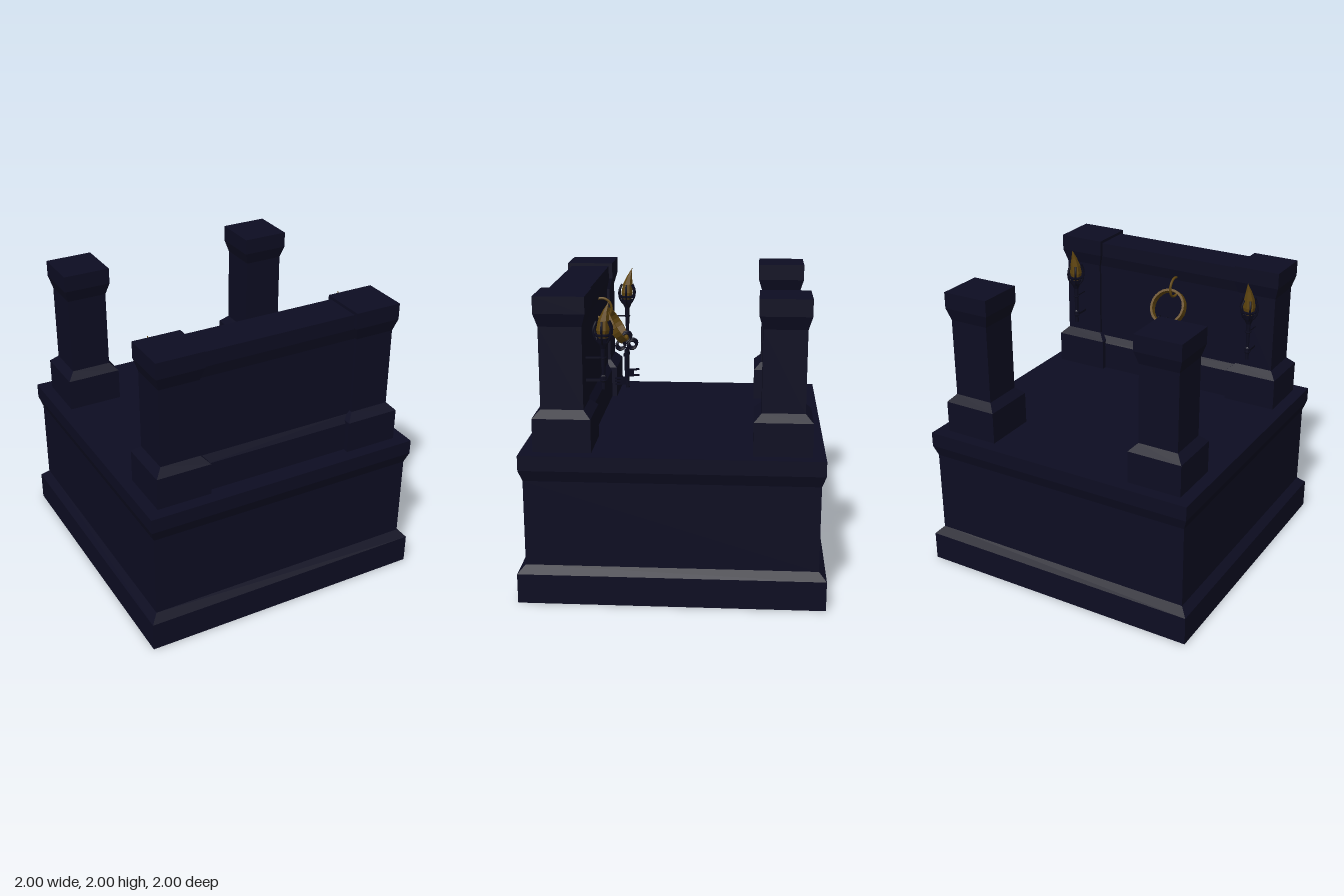
import * as THREE from 'three';

const material = (name, color) => {
  const m = new THREE.MeshStandardMaterial({ color });
  m.name = name;
  return m;
};

// Lathe with hard facets
function facetedLathe(points, segments, phase = 0) {
  const g = new THREE.LatheGeometry(points.map(([r, y]) => new THREE.Vector2(r, y)), segments, phase).toNonIndexed();
  g.computeVertexNormals();
  return g;
}

// Square moulded block from [half width, height] pairs
function squareBlock(profile) {
  const pts = profile.map(([h, y]) => [h * Math.SQRT2, y]);
  return facetedLathe([[0, pts[0][1]], ...pts, [0, pts[pts.length - 1][1]]], 4, Math.PI / 4);
}

export function createModel() {
  const stone = material('dark stone', 0x0d0d22);
  const iron = material('dark iron', 0x0b0b1e);
  const gold = material('aged gold', 0x624710);
  const model = new THREE.Group();
  model.name = 'dungeonBlock';

  function add(parent, name, geometry, mat, x = 0, y = 0, z = 0) {
    const mesh = new THREE.Mesh(geometry, mat);
    mesh.name = name;
    mesh.position.set(x, y, z);
    parent.add(mesh);
    return mesh;
  }
  function group(parent, name, x, y, z) {
    const g = new THREE.Group();
    g.name = name;
    g.position.set(x, y, z);
    parent.add(g);
    return g;
  }

  // Plinth with stepped foot and flared rim
  add(model, 'plinth', squareBlock([[1, 0], [1, 0.2], [0.95, 0.25], [0.95, 0.825], [0.975, 0.9], [0.975, 1]]), stone);

  // Four corner pillars
  const pillar = squareBlock([[0.188, 1], [0.188, 1.22], [0.138, 1.27], [0.138, 1.805], [0.163, 1.89], [0.163, 2]]);
  for (const sx of [-1, 1]) for (const sz of [-1, 1]) add(model, 'pillar', pillar, stone, sx * 0.702, 0, sz * 0.702);

  // Moulded wall between the front pillars
  const half = [[0.15, 1], [0.15, 1.2], [0.115, 1.25], [0.115, 1.8], [0.135, 1.88], [0.135, 1.98]];
  const section = new THREE.Shape([
    ...half.map(([h, y]) => new THREE.Vector2(h, y)),
    ...half.slice().reverse().map(([h, y]) => new THREE.Vector2(-h, y)),
  ]);
  const wall = new THREE.ExtrudeGeometry(section, { depth: 1.14, bevelEnabled: false });
  wall.translate(0, 0, -0.57);
  wall.rotateY(Math.PI / 2);
  add(model, 'wall', wall, stone, 0, 0, 0.7);

  // Flame, six sided, its tip bent away from the wall
  const flame = facetedLathe([[0, 1.68], [0.03, 1.7], [0.043, 1.76], [0.036, 1.82], [0.02, 1.88], [0, 1.945]], 6);
  const pos = flame.attributes.position;
  for (let i = 0; i < pos.count; i++) {
    const t = Math.max(0, (pos.getY(i) - 1.74) / 0.2);
    pos.setZ(i, pos.getZ(i) - 0.04 * t * t);
  }
  flame.computeVertexNormals();

  // Torches on the front pillars
  const prongPath = new THREE.CatmullRomCurve3([[0.015, 1.66], [0.055, 1.71], [0.065, 1.77], [0.045, 1.82]]
    .map(([r, y]) => new THREE.Vector3(r, y, 0)));
  const prong = new THREE.TubeGeometry(prongPath, 8, 0.007, 5);
  const hoop = new THREE.TorusGeometry(0.045, 0.01, 5, 12);
  hoop.rotateX(Math.PI / 2);
  const handle = facetedLathe([[0, 1.37], [0.014, 1.375], [0.014, 1.42], [0.02, 1.43], [0.02, 1.46],
    [0.012, 1.47], [0.018, 1.64], [0.035, 1.68], [0.04, 1.71], [0, 1.71]], 8);
  for (const sx of [-1, 1]) {
    const torch = group(model, 'torch', sx * 0.7, 0, 0.45);
    add(torch, 'flame', flame, gold);
    add(torch, 'handle', handle, iron);
    add(torch, 'hoop', hoop, iron, 0, 1.73, 0);
    for (let i = 0; i < 6; i++) add(torch, 'prong', prong, iron).rotation.y = (i * Math.PI) / 3;
    for (const [y, t] of [[1.58, 0.01], [1.432, 0.016]]) {
      add(torch, 'bracket', new THREE.BoxGeometry(t, t, 0.13), iron, 0, y, 0.06);
      const clasp = add(torch, 'clasp', new THREE.TorusGeometry(0.018, 0.006, 5, 10), iron, 0, y, 0);
      clasp.rotation.x = Math.PI / 2;
    }
  }

  // Key ring, a broad band leaning off a wall loop
  const keyRing = group(model, 'keyRing', -0.068, 0, 0);
  const band = facetedLathe([[0.115, -0.025], [0.132, -0.025], [0.132, 0.025], [0.115, 0.025], [0.115, -0.025]], 24);
  add(keyRing, 'band', band, gold, 0, 1.633, 0.462).rotation.x = -1.02;
  add(keyRing, 'wallLoop', new THREE.TorusGeometry(0.07, 0.009, 6, 20), gold, 0, 1.757, 0.558).rotation.y = Math.PI / 2;

  // Keys hanging from the lowest part of the band, each with a three-lobed bow
  const lobe = new THREE.TorusGeometry(0.03, 0.009, 6, 14);
  function addKey(x, z, low, angle, teeth) {
    const key = group(keyRing, 'key', x, low, z);
    key.rotation.y = angle;
    const top = 1.47 - low;
    add(key, 'shank', new THREE.CylinderGeometry(0.014, 0.014, top, 8), iron, 0, top / 2, 0);
    add(key, 'collar', new THREE.CylinderGeometry(0.02, 0.02, 0.02, 8), iron, 0, top - 0.04, 0);
    for (const [lx, ly] of [[-0.042, 0.03], [0.042, 0.03], [0, 0.085]]) add(key, 'bow', lobe, iron, lx, top + ly, 0);
    add(key, 'bit', new THREE.BoxGeometry(0.04, 0.055, 0.012), iron, 0.03, 0.05, 0);
    for (let i = 0; i < teeth; i++) {
      const y = 0.05 + (i / (teeth - 1) - 0.5) * 0.042;
      add(key, 'tooth', new THREE.BoxGeometry(0.045, 0.012, 0.012), iron, 0.068, y, 0);
    }
  }
  addKey(-0.03, 0.385, 1.18, -Math.PI / 2 + 0.35, 3);
  addKey(0.03, 0.385, 1.25, Math.PI / 2 + 0.35, 2);

  return model;
}
